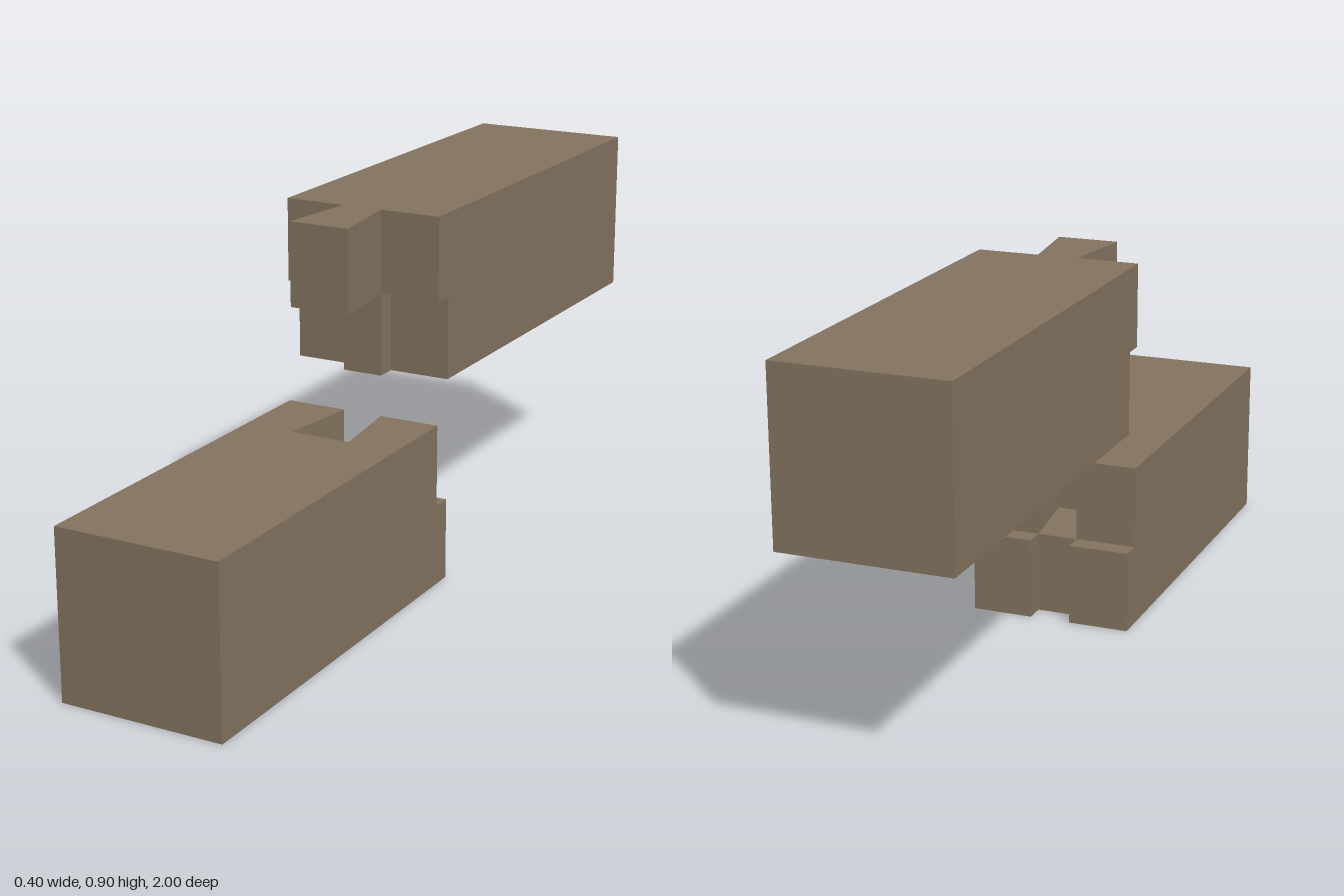
import * as THREE from 'three';

const HALF = 0.2;       // half the beam width, also the height of each joint layer
const NECK = 0.05;      // half width of the dovetail neck and the stub
const FLARE = 0.075;    // half width of the dovetail end
const SHOULDER = 0.05;  // z of the upper shoulder
const TIP = 0.25;       // z of the dovetail end

// Mirrors half an outline of [x, z] points and extrudes it as a layer from y upward.
function layer(name, half, y, material) {
  const mirrored = half.map(([x, z]) => [-x, z]).reverse();
  const points = [...half, ...mirrored].map(([x, z]) => new THREE.Vector2(x, z));
  const geometry = new THREE.ExtrudeGeometry(new THREE.Shape(points), { depth: HALF, bevelEnabled: false });
  geometry.rotateX(Math.PI / 2);
  geometry.translate(0, y + HALF, 0);
  const mesh = new THREE.Mesh(geometry, material);
  mesh.name = name;
  return mesh;
}

export function createModel() {
  const wood = new THREE.MeshStandardMaterial({ color: 0x83735f });
  wood.name = 'wood';

  // Rear beam: dovetail tongue over a short stub tenon
  const tenonBeam = new THREE.Group();
  tenonBeam.name = 'tenonBeam';
  tenonBeam.add(
    layer('stubLayer', [[HALF, -1], [HALF, 0], [NECK, 0], [NECK, SHOULDER]], 0.5, wood),
    layer('dovetailLayer', [[HALF, -1], [HALF, SHOULDER], [NECK, SHOULDER], [FLARE, TIP]], 0.7, wood),
  );

  // Front beam: matching stub slot below and dovetail socket above
  const socketBeam = new THREE.Group();
  socketBeam.name = 'socketBeam';
  socketBeam.add(
    layer('slotLayer', [[NECK, SHOULDER], [NECK, 0], [HALF, 0], [HALF, 1]], 0, wood),
    layer('socketLayer', [[FLARE, TIP], [NECK, SHOULDER], [HALF, SHOULDER], [HALF, 1]], 0.2, wood),
  );

  const model = new THREE.Group();
  model.name = 'dovetailJoint';
  model.add(tenonBeam, socketBeam);
  return model;
}
